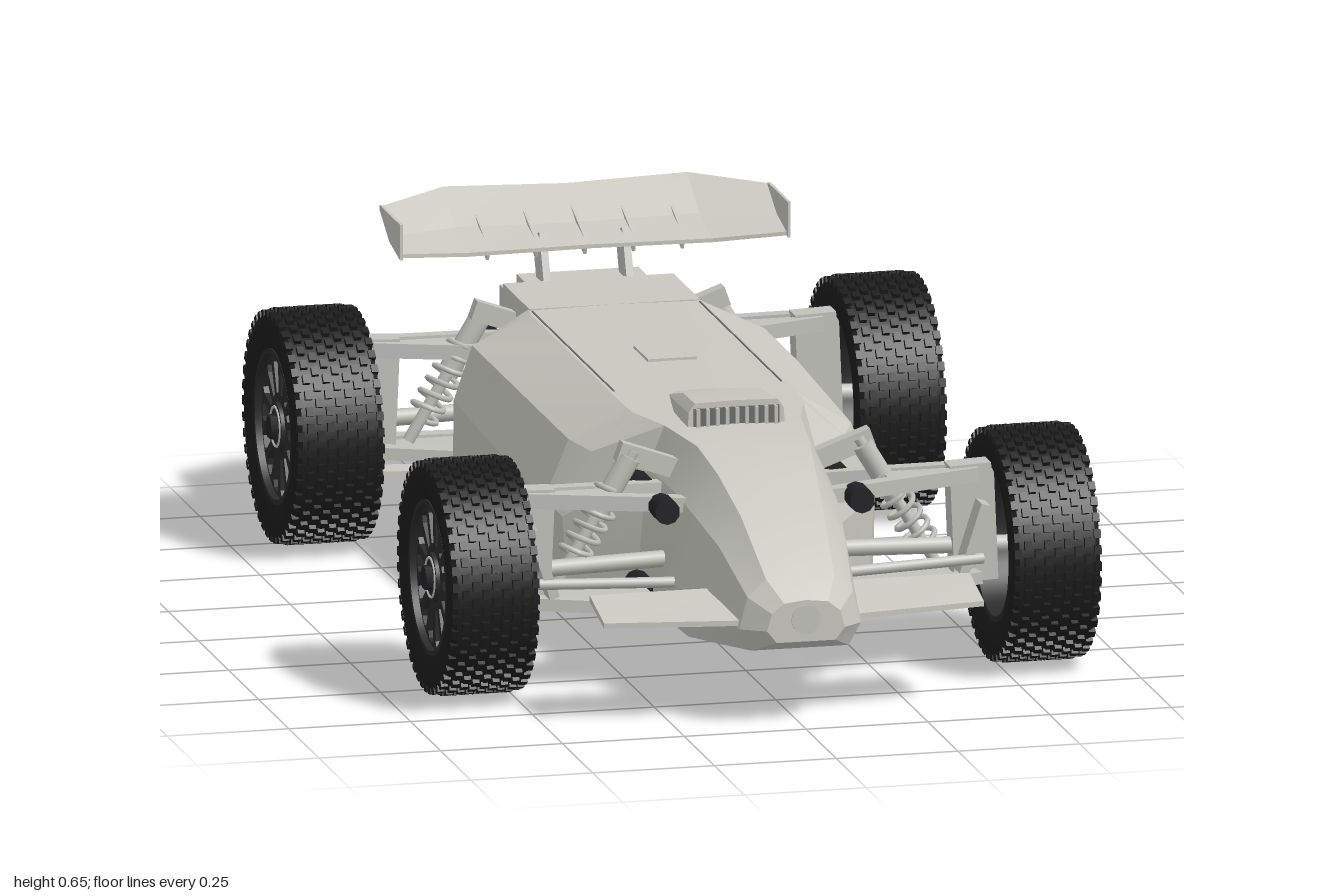
import * as THREE from 'three';
import { mergeGeometries, toCreasedNormals } from 'three/addons/utils/BufferGeometryUtils.js';

const material = (name, color) => {
  const m = new THREE.MeshStandardMaterial({ color });
  m.name = name;
  return m;
};
const V = (x, y, z) => new THREE.Vector3(x, y, z);

// Closed skin through matching rings, counter-clockwise seen from the first end
function loft(rings, crease = 0.3) {
  const n = rings[0].length, pos = [], idx = [];
  rings.forEach(r => r.forEach(p => pos.push(p.x, p.y, p.z)));
  for (let i = 0; i < rings.length - 1; i++) for (let j = 0; j < n; j++) {
    const a = i * n + j, b = i * n + (j + 1) % n, c = b + n, d = a + n;
    idx.push(a, d, c, a, c, b);
  }
  const e = (rings.length - 1) * n;
  [rings[0], rings[rings.length - 1]].forEach((r, k) => {
    const m = r.reduce((s, p) => s.add(p), V(0, 0, 0)).divideScalar(n);
    const c = pos.length / 3;
    pos.push(m.x, m.y, m.z);
    for (let j = 0; j < n; j++) {
      if (k) idx.push(c, e + (j + 1) % n, e + j);
      else idx.push(c, j, (j + 1) % n);
    }
  });
  const g = new THREE.BufferGeometry();
  g.setAttribute('position', new THREE.Float32BufferAttribute(pos, 3));
  g.setIndex(idx);
  return toCreasedNormals(g, crease);
}

// Mirrored cross-section: half outline from bottom corner up, plus middle heights
function section(z, bottom, half, top) {
  return [V(0, bottom, z), ...half.map(([x, y]) => V(x, y, z)), V(0, top, z),
    ...half.slice().reverse().map(([x, y]) => V(-x, y, z))];
}

export function createModel() {
  const model = new THREE.Group();
  const shell = material('pale grey shell', 0xc8c8c0);
  const metal = material('light grey metal', 0xc2c2bc);
  const rubber = material('black rubber', 0x1c1c1c);
  const rimDark = material('dark rim', 0x2a2a2a);
  const black = material('black fitting', 0x222226);
  const shade = material('dark grey opening', 0x6c6c68);

  const add = (geo, mat, name, parent = model) => {
    const m = new THREE.Mesh(geo, mat);
    m.name = name;
    parent.add(m);
    return m;
  };
  const box = (name, mat, w, h, d, x, y, z, parent = model) => {
    const m = add(new THREE.BoxGeometry(w, h, d), mat, name, parent);
    m.position.set(x, y, z);
    return m;
  };
  const rod = (name, mat, a, b, r, parent, r2 = r) => {
    const m = add(new THREE.CylinderGeometry(r2, r, a.distanceTo(b), 10), mat, name, parent);
    m.position.copy(a).lerp(b, 0.5);
    m.quaternion.setFromUnitVectors(V(0, 1, 0), b.clone().sub(a).normalize());
    return m;
  };
  const beam = (name, mat, a, b, w, h, parent) => {
    const m = box(name, mat, w, h, a.distanceTo(b), 0, 0, 0, parent);
    m.position.copy(a).lerp(b, 0.5);
    m.lookAt(b);
    return m;
  };

  // Main shell: nose, cockpit and side pods
  add(loft([
    section(1.0, 0.18, [[0.06, 0.18], [0.08, 0.205], [0.07, 0.24], [0.045, 0.26]], 0.265),
    section(0.95, 0.155, [[0.1, 0.155], [0.125, 0.2], [0.108, 0.265], [0.07, 0.3]], 0.305),
    section(0.8, 0.135, [[0.13, 0.135], [0.15, 0.22], [0.13, 0.335], [0.085, 0.395]], 0.402),
    section(0.67, 0.12, [[0.16, 0.12], [0.178, 0.22], [0.15, 0.37], [0.1, 0.45]], 0.457),
    section(0.56, 0.12, [[0.165, 0.12], [0.18, 0.22], [0.16, 0.39], [0.115, 0.482]], 0.488),
    section(0.39, 0.12, [[0.18, 0.12], [0.19, 0.24], [0.175, 0.4], [0.14, 0.485]], 0.49),
    section(0.27, 0.12, [[0.31, 0.12], [0.32, 0.28], [0.26, 0.41], [0.175, 0.485]], 0.49),
    section(0.2, 0.12, [[0.335, 0.12], [0.34, 0.3], [0.29, 0.42], [0.18, 0.487]], 0.49),
    section(-0.3, 0.12, [[0.34, 0.12], [0.34, 0.31], [0.3, 0.43], [0.18, 0.487]], 0.49),
    section(-0.56, 0.12, [[0.34, 0.12], [0.338, 0.32], [0.3, 0.43], [0.18, 0.487]], 0.49),
    section(-0.6, 0.12, [[0.3, 0.12], [0.3, 0.32], [0.27, 0.43], [0.175, 0.487]], 0.49),
  ]), shell, 'bodyShell');

  const noseCap = add(new THREE.CylinderGeometry(0.03, 0.03, 0.02, 20), metal, 'noseCap');
  noseCap.rotation.x = Math.PI / 2;
  noseCap.position.set(0, 0.225, 0.992);

  // Air scoop with slatted mouth
  add(loft([
    section(0.42, 0.46, [[0.1, 0.46], [0.098, 0.515], [0.085, 0.534]], 0.536),
    section(0.3, 0.46, [[0.1, 0.46], [0.095, 0.51], [0.08, 0.527]], 0.53),
    section(0.14, 0.46, [[0.075, 0.46], [0.07, 0.485], [0.05, 0.49]], 0.492),
  ]), shell, 'airScoop');
  box('scoopMouth', shade, 0.175, 0.046, 0.006, 0, 0.5, 0.421);
  for (let i = 0; i < 9; i++) box('scoopSlat', metal, 0.007, 0.046, 0.012, (i - 4) * 0.02, 0.5, 0.425);

  // Shell seams and roof hatch
  for (const s of [-1, 1]) box('roofSeam', shade, 0.003, 0.002, 0.68, s * 0.172, 0.488, -0.24);
  box('roofHatch', shell, 0.1, 0.012, 0.12, 0, 0.489, -0.17);

  // Rear core, deck and tail
  box('rearCore', shell, 0.26, 0.3, 0.28, 0, 0.3, -0.72);
  box('rearDeck', shell, 0.35, 0.05, 0.22, 0, 0.465, -0.7);
  box('rearDeckTail', shell, 0.25, 0.04, 0.1, 0, 0.465, -0.85);
  box('rearFloor', shell, 0.34, 0.02, 0.34, 0, 0.135, -0.75);
  box('tailPanel', metal, 0.25, 0.25, 0.02, 0, 0.31, -0.88);
  for (const y of [0.22, 0.3, 0.38]) box('tailRib', shell, 0.27, 0.018, 0.05, 0, y, -0.895);
  for (const s of [-1, 1]) box('tailSidePlate', metal, 0.02, 0.3, 0.12, s * 0.145, 0.31, -0.86);
  add(loft([
    section(-0.86, 0.17, [[0.13, 0.17], [0.13, 0.23]], 0.23),
    section(-0.95, 0.2, [[0.1, 0.2], [0.1, 0.225]], 0.225),
  ]), shell, 'rearBumper');
  for (let i = -2; i <= 2; i++) {
    const fin = box('diffuserFin', shell, 0.008, 0.05, 0.14, i * 0.065, 0.145, -0.87);
    fin.rotation.x = 0.2;
  }

  // Rear wing: swept sheet with a dished chord
  const wingRing = (x, f, m, r) => {
    const t = 0.008;
    const top = [f, m, r];
    return [...top.map(([z, y]) => V(x, y - t, z)), ...top.reverse().map(([z, y]) => V(x, y, z))];
  };
  const tip = x => wingRing(x, [-0.76, 0.575], [-0.84, 0.592], [-0.92, 0.635]);
  const mid = x => wingRing(x, [-0.79, 0.562], [-0.9, 0.588], [-1, 0.648]);
  add(loft([tip(0.4), mid(0.25), wingRing(0, [-0.8, 0.562], [-0.9, 0.584], [-1, 0.64]), mid(-0.25), tip(-0.4)], 0.1),
    shell, 'rearWing');
  const plate = new THREE.Shape([[0.75, 0.565], [0.84, 0.582], [0.92, 0.628], [0.92, 0.638], [0.75, 0.638]]
    .map(p => new THREE.Vector2(...p)));
  for (const s of [-1, 1]) {
    const end = add(new THREE.ExtrudeGeometry(plate, { depth: 0.006, bevelEnabled: false }), shell, 'wingEndPlate');
    end.rotation.y = Math.PI / 2;
    end.position.x = s * 0.398 - 0.003;
    beam('wingStrut', metal, V(s * 0.085, 0.47, -0.83), V(s * 0.085, 0.572, -0.87), 0.015, 0.06);
  }
  for (let i = -2; i <= 2; i++) beam('wingRib', shell, V(i * 0.1, 0.55, -0.83), V(i * 0.1, 0.6, -0.97), 0.006, 0.035);

  // Front wing, swept back at the tips
  const foil = (x, front, back) => [V(x, 0.205, front), V(x, 0.232, back), V(x, 0.245, back), V(x, 0.216, front)];
  add(loft([foil(0.39, 0.9, 0.78), foil(0.1, 0.945, 0.78), foil(-0.1, 0.945, 0.78), foil(-0.39, 0.9, 0.78)]),
    shell, 'frontWing');

  // Suspension: one corner per side and axle
  function corner(s, axle, rear) {
    const g = new THREE.Group();
    g.name = rear ? 'rearSuspension' : 'frontSuspension';
    model.add(g);
    const d = rear ? -1 : 1;
    const P = (x, y, z) => V(s * x, y, axle + d * z);
    for (const z of [-0.1, 0.1]) {
      beam('lowerArm', metal, P(0.14, 0.165, z), P(0.46, 0.185, z * 0.45), 0.035, 0.025, g);
      beam('upperArm', metal, P(0.14, 0.375, z * 0.7), P(0.46, 0.39, z * 0.2), 0.03, 0.03, g);
      for (const y of [0.17, 0.375]) rod('armBush', black, P(0.2, y, z - 0.03), P(0.2, y, z + 0.03), 0.026, g);
    }
    beam('lowerArmWeb', metal, P(0.2, 0.172, 0), P(0.44, 0.182, 0), 0.12, 0.012, g);
    beam('upperArmWeb', metal, P(0.28, 0.383, 0), P(0.45, 0.39, 0), 0.07, 0.016, g);
    beam('upright', metal, P(0.46, 0.17, 0), P(0.45, 0.41, 0), 0.05, 0.09, g);
    beam('uprightPlate', metal, P(0.42, 0.2, 0.06), P(0.465, 0.34, 0.06), 0.05, 0.02, g);
    rod('driveShaft', metal, P(0.1, 0.25, 0), P(0.57, 0.237, 0), 0.017, g);
    rod('tieRod', metal, P(0.15, 0.22, 0.09), P(0.46, 0.23, 0.08), 0.011, g);
    beam('shockTower', metal, P(0.08, 0.4, -0.04), P(0.26, 0.465, -0.04), 0.03, 0.04, g);
    // Shock absorber with coil spring
    const top = P(0.23, 0.465, -0.03), low = P(0.39, 0.2, -0.03);
    const at = t => top.clone().lerp(low, t);
    rod('shockRod', metal, top, low, 0.012, g);
    rod('shockBody', metal, at(0.05), at(0.5), 0.022, g);
    const u = low.clone().sub(top).normalize(), w = V(0, 0, 1), q = u.clone().cross(w);
    const pts = Array.from({ length: 73 }, (_, i) => at(0.28 + 0.55 * i / 72)
      .addScaledVector(w, 0.031 * Math.cos(i * Math.PI / 6))
      .addScaledVector(q, 0.031 * Math.sin(i * Math.PI / 6)));
    add(new THREE.TubeGeometry(new THREE.CatmullRomCurve3(pts), 110, 0.006, 5), metal, 'coilSpring', g);
    if (rear) beam('armShield', shell, P(0.34, 0.16, -0.12), P(0.47, 0.165, -0.12), 0.06, 0.01, g);
  }

  // Wheel parts, with the axle along x and the outer face towards +x
  const profile = [[0.15, -0.076], [0.165, -0.086], [0.205, -0.091], [0.222, -0.088], [0.229, -0.078],
    [0.229, 0.078], [0.222, 0.088], [0.205, 0.091], [0.165, 0.086], [0.15, 0.076], [0.15, -0.076]];
  const tyreGeo = toCreasedNormals(new THREE.LatheGeometry(profile.map(p => new THREE.Vector2(...p)), 56), 0.6)
    .rotateZ(-Math.PI / 2);
  const knobs = [];
  for (let row = 0; row < 9; row++) for (let i = 0; i < 44; i++) {
    const k = new THREE.BoxGeometry(0.014, 0.014, 0.018);
    k.translate((row - 4) * 0.0205, row % 8 ? 0.2305 : 0.227, 0);
    k.rotateX((i + (row % 2) * 0.5) * Math.PI * 2 / 44);
    knobs.push(k);
  }
  const knobGeo = mergeGeometries(knobs);
  const face = new THREE.Shape().absarc(0, 0, 0.154, 0, Math.PI * 2);
  for (let i = 0; i < 14; i++) {
    const a = i * Math.PI / 7;
    const pt = (r, o) => new THREE.Vector2(r * Math.cos(a + o), r * Math.sin(a + o));
    face.holes.push(new THREE.Path([pt(0.068, -0.1), pt(0.13, -0.15), pt(0.142, -0.09),
      pt(0.142, 0.09), pt(0.13, 0.15), pt(0.068, 0.1)]));
  }
  const faceGeo = new THREE.ExtrudeGeometry(face, { depth: 0.014, bevelEnabled: false, curveSegments: 40 })
    .rotateY(Math.PI / 2).translate(0.056, 0, 0);
  const rimGeo = toCreasedNormals(new THREE.LatheGeometry([[0.145, -0.08], [0.157, -0.08], [0.157, 0.084],
    [0.147, 0.084], [0.145, -0.08]].map(p => new THREE.Vector2(...p)), 48), 0.6).rotateZ(-Math.PI / 2);
  const axial = (r, len, x, n) => new THREE.CylinderGeometry(r, r, len, n).rotateZ(-Math.PI / 2).translate(x, 0, 0);

  for (const s of [-1, 1]) for (const axle of [0.53, -0.757]) {
    corner(s, axle, axle < 0);
    const wheel = new THREE.Group();
    wheel.name = axle < 0 ? 'rearWheel' : 'frontWheel';
    wheel.position.set(s * 0.577, 0.2375, axle);
    if (s < 0) wheel.rotation.y = Math.PI;
    model.add(wheel);
    add(tyreGeo, rubber, 'tyre', wheel);
    add(knobGeo, rubber, 'treadKnobs', wheel);
    add(rimGeo, rimDark, 'rimBarrel', wheel);
    add(faceGeo, rimDark, 'rimSpokes', wheel);
    add(axial(0.05, 0.08, 0.038, 28), rimDark, 'hub', wheel);
    add(new THREE.TorusGeometry(0.04, 0.003, 6, 28).rotateY(Math.PI / 2).translate(0.078, 0, 0), metal, 'hubRing', wheel);
    add(axial(0.026, 0.02, 0.082, 6), black, 'wheelNut', wheel);
  }
  return model;
}
